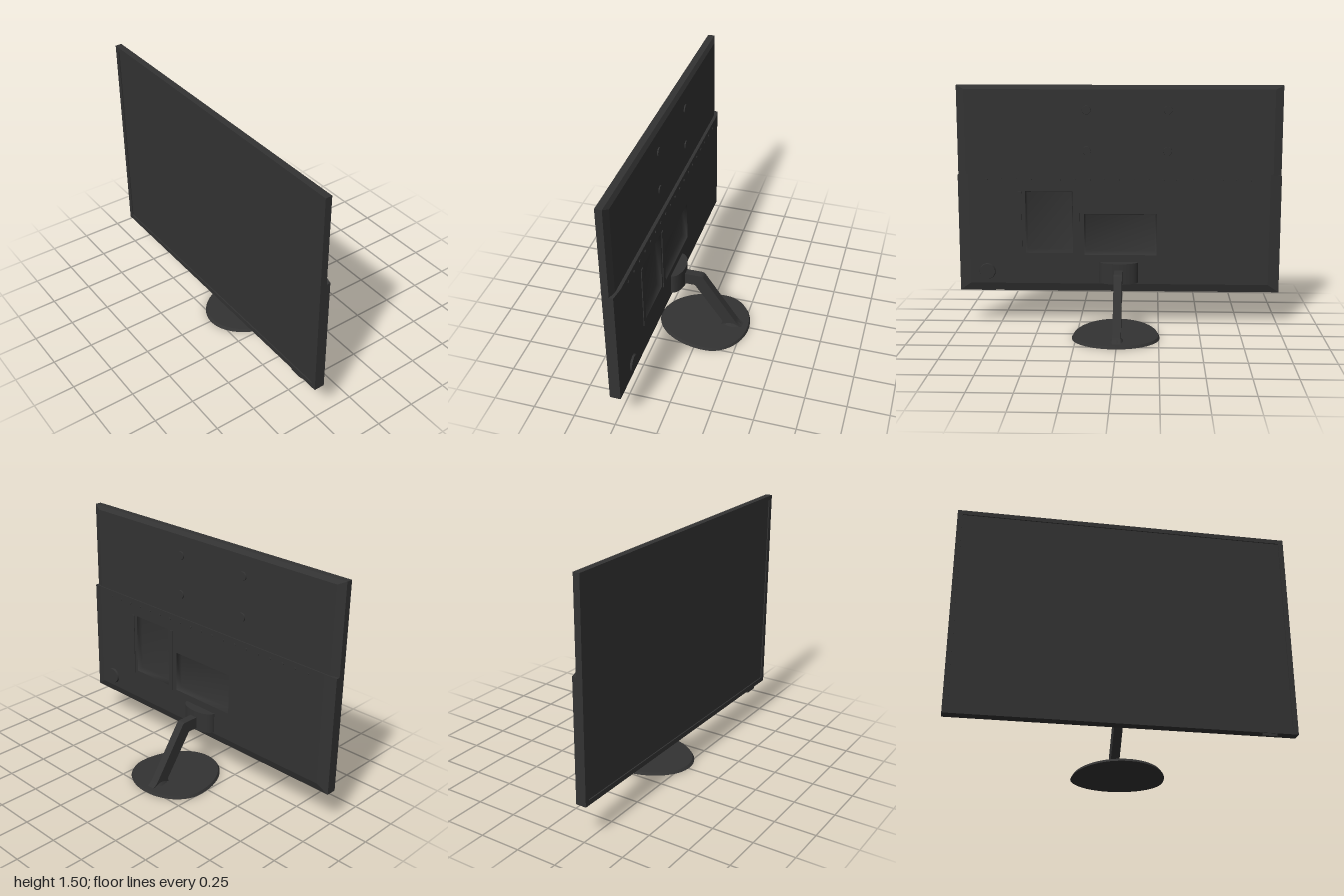
import * as THREE from 'three';

const mat = new THREE.MeshStandardMaterial({ color: 0x333333, side: THREE.DoubleSide });

function add(parent, name, geometry, x = 0, y = 0, z = 0) {
  const mesh = new THREE.Mesh(geometry, mat);
  mesh.name = name;
  mesh.position.set(x, y, z);
  parent.add(mesh);
  return mesh;
}

const rect = (x0, x1, y0, y1, z) => ({ x0, x1, y0, y1, z });
const corners = (r) => [[r.x1, r.y0], [r.x0, r.y0], [r.x0, r.y1], [r.x1, r.y1]];

// Skin facing -z through a row of rectangles, with an optional flat cap on the last
function rectLoft(rects, cap, smooth) {
  const pos = [], index = [];
  rects.forEach((r) => corners(r).forEach(([x, y]) => pos.push(x, y, r.z)));
  for (let k = 0; k < rects.length - 1; k++) {
    for (let i = 0; i < 4; i++) {
      const a = k * 4 + i, b = k * 4 + (i + 1) % 4;
      index.push(a, b, b + 4, a, b + 4, a + 4);
    }
  }
  if (cap) {
    const n = (rects.length - 1) * 4;
    index.push(n, n + 1, n + 2, n, n + 2, n + 3);
  }
  let g = new THREE.BufferGeometry();
  g.setAttribute('position', new THREE.Float32BufferAttribute(pos, 3));
  g.setIndex(index);
  if (!smooth) g = g.toNonIndexed();
  g.computeVertexNormals();
  return g;
}

function rectShape(r, Type = THREE.Shape) {
  return new Type(corners(r).map(([x, y]) => new THREE.Vector2(x, y)));
}

// Short round disc lying against the back
function backDisc(radius, depth, segments = 24) {
  return new THREE.CylinderGeometry(radius * 0.92, radius, depth, segments).rotateX(-Math.PI / 2);
}

function buildScreen() {
  const g = new THREE.Group();
  g.name = 'display';

  // Bezel frame and slightly sunken screen
  const frame = rectShape(rect(-1, 1, 0.22, 1.505, 0));
  frame.holes.push(rectShape(rect(-0.97, 0.97, 0.25, 1.478, 0), THREE.Path));
  add(g, 'bezel', new THREE.ExtrudeGeometry(frame, { depth: 0.038, bevelEnabled: false }), 0, 0, 0.23);
  add(g, 'screen', new THREE.BoxGeometry(1.95, 1.24, 0.012), 0, 0.864, 0.255);

  // Thin upper back
  add(g, 'upperBack', rectLoft([
    rect(-1, 1, 0.9, 1.505, 0.232),
    rect(-1, 1, 0.9, 1.505, 0.228),
    rect(-0.95, 0.95, 0.92, 1.48, 0.212),
  ], true));

  // Thicker lower cover with two openings
  const back = rect(-0.93, 0.93, 0.27, 0.965, 0.188);
  add(g, 'lowerCoverEdge', rectLoft([
    rect(-1, 1, 0.22, 0.955, 0.235),
    rect(-1, 1, 0.22, 0.955, 0.204),
    back,
  ], false));
  const plate = rectShape(back);
  const openings = [rect(0.285, 0.58, 0.465, 0.855, 0.188), rect(-0.235, 0.215, 0.455, 0.715, 0.188)];
  openings.forEach((o) => {
    plate.holes.push(rectShape(o, THREE.Path));
    const inner = rect(o.x0 + 0.01, o.x1 - 0.01, o.y0 + 0.02, o.y1 - 0.01, 0.222);
    add(g, 'portRecess', rectLoft([o, inner], true, true));
  });
  const plateGeo = new THREE.ShapeGeometry(plate);
  // turn the plate to face backwards
  const idx = plateGeo.index.array;
  for (let i = 0; i < idx.length; i += 3) [idx[i], idx[i + 1]] = [idx[i + 1], idx[i]];
  plateGeo.computeVertexNormals();
  add(g, 'lowerCover', plateGeo, 0, 0, 0.188);

  // Upright ribs beside the taller recess
  [0.615, 0.257].forEach((x) =>
    add(g, 'rib', new THREE.BoxGeometry(0.024, 0.41, 0.01), x, 0.65, 0.188));

  // Mounting bosses
  for (const x of [-0.3, 0.2]) {
    for (const y of [1.105, 1.355]) add(g, 'mountBoss', backDisc(0.028, 0.012), x, y, 0.211);
  }

  // Row of small studs under the cover's top edge
  for (let i = 0; i < 19; i++) {
    add(g, 'stud', backDisc(0.008, 0.006, 10), 0.82 - i * 0.091, 0.928, 0.187);
  }

  // Control knob behind, sensor tab below
  add(g, 'controlKnob', backDisc(0.052, 0.016, 32), 0.825, 0.345, 0.184);
  add(g, 'sensorTab', new THREE.BoxGeometry(0.086, 0.02, 0.012), 0.832, 0.214, 0.258);
  return g;
}

function buildStand() {
  const g = new THREE.Group();
  g.name = 'stand';

  // Egg-shaped foot: a disc stretched differently to front and back
  const foot = new THREE.CylinderGeometry(0.965, 1, 0.016, 72);
  const p = foot.attributes.position;
  for (let i = 0; i < p.count; i++) {
    const z = p.getZ(i);
    p.setXYZ(i, p.getX(i) * 0.266, p.getY(i), z * (z > 0 ? 0.357 : 0.22));
  }
  foot.computeVertexNormals();
  add(g, 'foot', foot, 0.01, 0.008, -0.069);

  // Bent arm drawn in profile (z, y), flared where it meets the foot
  const arm = new THREE.Shape();
  arm.moveTo(0.15, 0.37);
  arm.lineTo(0.03, 0.37);
  arm.quadraticCurveTo(0.016, 0.37, 0.008, 0.36);
  arm.lineTo(-0.205, 0.05);
  arm.quadraticCurveTo(-0.222, 0.024, -0.252, 0.014);
  arm.lineTo(-0.108, 0.014);
  arm.quadraticCurveTo(-0.126, 0.026, -0.118, 0.042);
  arm.lineTo(0.062, 0.295);
  arm.lineTo(0.15, 0.295);
  const armGeo = new THREE.ExtrudeGeometry(arm, { depth: 0.05, bevelEnabled: false, curveSegments: 8 });
  armGeo.translate(0, 0, -0.025).rotateY(-Math.PI / 2);
  add(g, 'arm', armGeo);

  // Flare around the arm's root
  const root = new THREE.CylinderGeometry(0.026, 0.042, 0.02, 24);
  add(g, 'armRoot', root.scale(1, 1, 1.7), 0, 0.022, -0.178);

  // Half-round bracket joining arm and cover
  const bracket = new THREE.CylinderGeometry(1, 1, 0.13, 40, 1, false, Math.PI / 2, Math.PI);
  add(g, 'bracket', bracket.scale(0.12, 1, 0.064), 0, 0.345, 0.19);
  return g;
}

export function createModel() {
  const model = new THREE.Group();
  model.name = 'monitor';
  model.add(buildScreen(), buildStand());
  return model;
}
